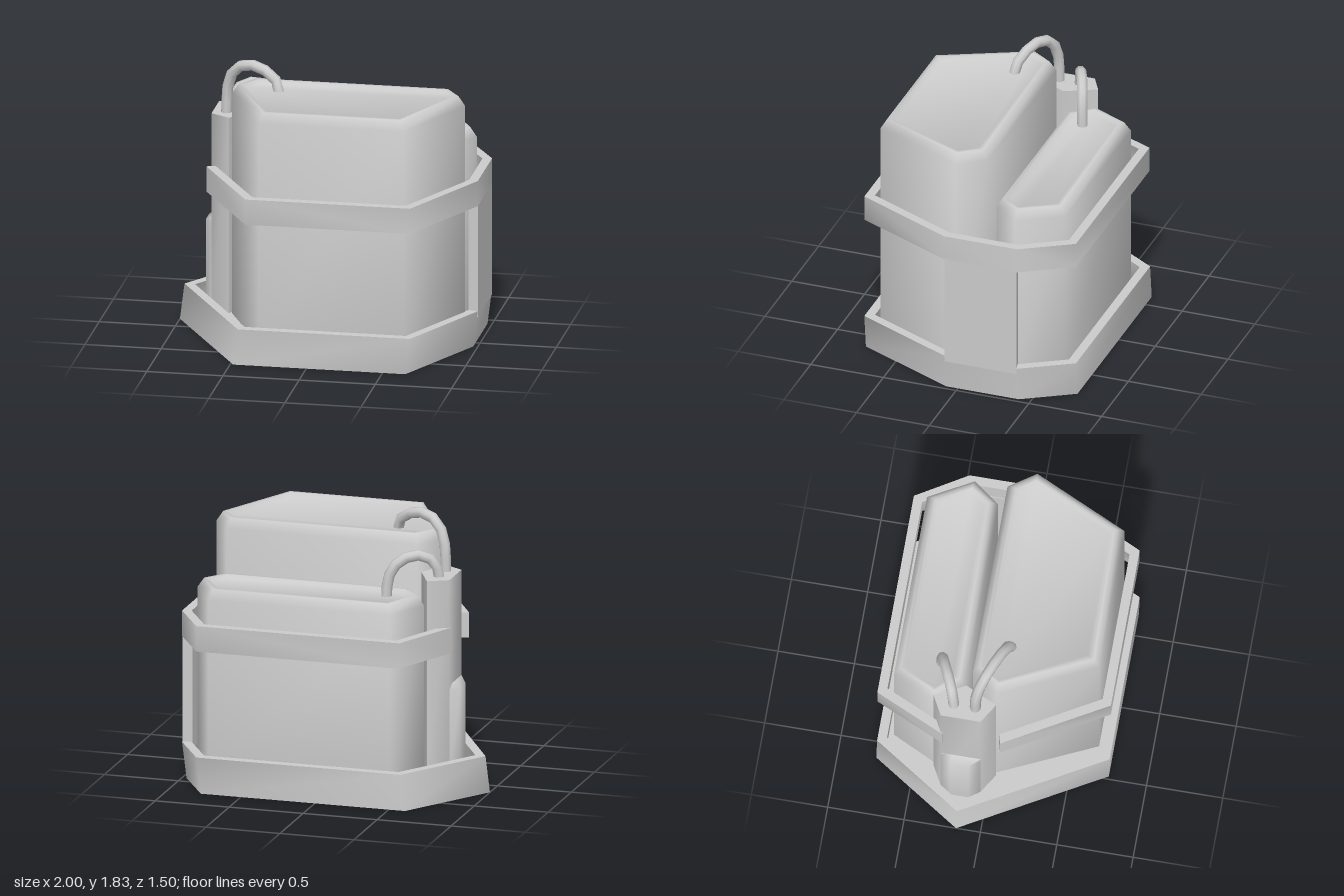
import * as THREE from 'three';
import { toCreasedNormals } from 'three/addons/utils/BufferGeometryUtils.js';

const material = new THREE.MeshStandardMaterial({ color: 0xcccccc });
const CREASE = 1.25;

// Outlines are [x, z] corners, counter-clockwise seen from above.
const BASE = [[-0.97, -0.16], [-0.45, 0.75], [0.68, 0.75], [1, 0.08], [1, -0.42], [0.8, -0.75], [-0.58, -0.75]];
const BAND = [[-0.78, 0.09], [-0.4, 0.75], [0.68, 0.75], [1, 0.08], [1, -0.42], [0.8, -0.75], [-0.57, -0.75], [-0.78, -0.29]];
const FRONT_TANK = [[-0.62, 0.04], [-0.33, 0.66], [0.62, 0.66], [0.91, 0.04], [0.79, -0.135], [-0.5, -0.135]];
const BACK_TANK = [[-0.62, -0.37], [-0.48, -0.195], [0.78, -0.195], [0.91, -0.37], [0.75, -0.655], [-0.48, -0.655]];
const MANIFOLD = [[-0.77, -0.3], [-0.77, -0.04], [-0.64, 0.04], [-0.54, -0.17], [-0.64, -0.37]];
const BUMP = [[-0.82, -0.23], [-0.82, -0.11], [-0.77, -0.04], [-0.7, -0.04], [-0.7, -0.3], [-0.77, -0.3]];

// Move every edge of a convex outline inwards by d.
function inset(outline, d) {
  const n = outline.length;
  const normal = (a, b) => {
    const l = Math.hypot(b[0] - a[0], b[1] - a[1]);
    return [(b[1] - a[1]) / l, (a[0] - b[0]) / l];
  };
  return outline.map((p, i) => {
    const u = normal(outline[(i + n - 1) % n], p);
    const v = normal(p, outline[(i + 1) % n]);
    const k = d / (1 + u[0] * v[0] + u[1] * v[1]);
    return [p[0] + k * (u[0] + v[0]), p[1] + k * (u[1] + v[1])];
  });
}

// Closed solid through a stack of [outline, y] rings, capped at both ends.
function loft(name, rings) {
  const n = rings[0][0].length;
  const position = [];
  const index = [];
  for (const [outline, y] of rings) for (const [x, z] of outline) position.push(x, y, z);
  for (let r = 0; r < rings.length - 1; r++) {
    for (let i = 0; i < n; i++) {
      const a = r * n + i, b = r * n + (i + 1) % n;
      index.push(a, b, b + n, a, b + n, a + n);
    }
  }
  const top = (rings.length - 1) * n;
  for (let i = 1; i < n - 1; i++) {
    index.push(0, i + 1, i);
    index.push(top, top + i, top + i + 1);
  }
  const geometry = new THREE.BufferGeometry();
  geometry.setAttribute('position', new THREE.Float32BufferAttribute(position, 3));
  geometry.setIndex(index);
  return finish(name, geometry);
}

function finish(name, geometry) {
  const mesh = new THREE.Mesh(toCreasedNormals(geometry, CREASE), material);
  mesh.name = name;
  return mesh;
}

// Flat outline raised from y0 to y1.
function slab(name, outline, y0, y1) {
  const shape = new THREE.Shape(outline.map(([x, z]) => new THREE.Vector2(x, -z)));
  const geometry = new THREE.ExtrudeGeometry(shape, { depth: y1 - y0, bevelEnabled: false });
  geometry.rotateX(-Math.PI / 2).translate(0, y0, 0);
  return finish(name, geometry);
}

// Tank with a bevelled rim and a slightly sunken lid.
function tank(name, outline, height) {
  return loft(name, [
    [outline, 0.12],
    [outline, height - 0.065],
    [inset(outline, 0.038), height],
    [inset(outline, 0.06), height],
    [inset(outline, 0.085), height - 0.02],
  ]);
}

function pipe(name, points) {
  const curve = new THREE.CatmullRomCurve3(points.map((p) => new THREE.Vector3(...p)));
  const mesh = new THREE.Mesh(new THREE.TubeGeometry(curve, 8, 0.036, 8), material);
  mesh.name = name;
  return mesh;
}

export function createModel() {
  const group = new THREE.Group();
  group.name = 'twinTankUnit';

  // Leaning tray with a raised rim
  const foot = BASE.map(([x, z]) => [x - 0.03, z]);
  const well = inset(BASE, 0.06);
  group.add(loft('baseTray', [[foot, 0], [BASE, 0.24], [well, 0.24], [well, 0.12]]));

  // Two tanks standing in the tray
  group.add(tank('frontTank', FRONT_TANK, 1.675));
  group.add(tank('backTank', BACK_TANK, 1.34));

  // Strap, open on the manifold side, and the panel that carries it
  group.add(slab('strap', [...BAND, ...inset(BAND, 0.06).reverse()], 0.95, 1.12));
  group.add(slab('sidePanel', [[1, 0.08], [1, -0.415], [0.935, -0.4], [0.935, 0.065]], 0.2, 0.96));

  // Manifold column with its lower block
  group.add(loft('manifold', [[MANIFOLD, 0.12], [MANIFOLD, 1.44]]));
  const bumpTop = BUMP.map(([x, z]) => [Math.max(x, -0.77), z]);
  group.add(loft('manifoldBlock', [[BUMP, 0.12], [BUMP, 0.7], [bumpTop, 0.735]]));

  // Bent pipes from the manifold to the tank lids
  group.add(pipe('frontPipe', [
    [-0.68, 1.42, -0.09], [-0.67, 1.62, -0.085], [-0.62, 1.74, -0.06],
    [-0.52, 1.79, -0.015], [-0.4, 1.77, 0.035], [-0.32, 1.71, 0.07], [-0.3, 1.63, 0.085],
  ]));
  group.add(pipe('backPipe', [
    [-0.68, 1.42, -0.23], [-0.66, 1.52, -0.24], [-0.59, 1.58, -0.27],
    [-0.49, 1.575, -0.315], [-0.4, 1.5, -0.35], [-0.37, 1.4, -0.36], [-0.365, 1.3, -0.365],
  ]));

  return group;
}
